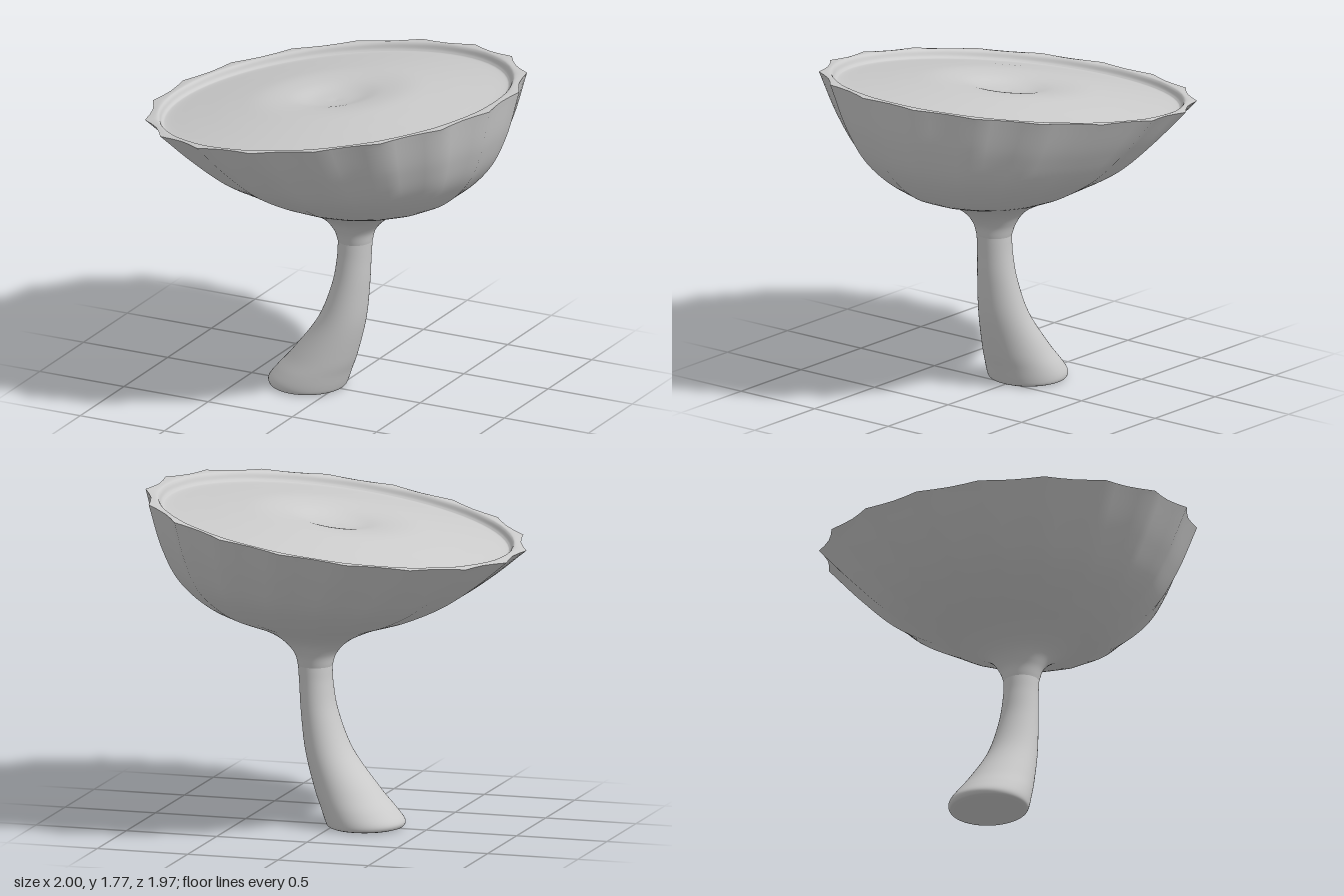
import * as THREE from 'three';

const SEGMENTS = 72;
const material = new THREE.MeshStandardMaterial({ color: 0xcccccc });

// Radius factor with 18 shallow hollows between pointed ribs
function scallop(angle, depth) {
  const deg = THREE.MathUtils.radToDeg(angle);
  const fromRib = Math.abs((deg % 20) - 10) / 10;
  return 1 - depth * Math.sin(fromRib * Math.PI / 2);
}

// Smooth surface through rings: [centreX, y, radiusX, radiusZ, slope along x, scallop depth]
function loft(name, rings, steps) {
  const a = new THREE.CatmullRomCurve3(
    rings.map(r => new THREE.Vector3(r[0], r[1], r[2])), false, 'catmullrom', 0.5);
  const b = new THREE.CatmullRomCurve3(
    rings.map(r => new THREE.Vector3(r[3], r[4], r[5])), false, 'catmullrom', 0.5);
  const positions = [], index = [];
  for (let i = 0; i <= steps; i++) {
    const p = a.getPoint(i / steps), q = b.getPoint(i / steps);
    for (let j = 0; j < SEGMENTS; j++) {
      const angle = j / SEGMENTS * Math.PI * 2;
      const s = scallop(angle, q.z);
      const x = p.z * s * Math.cos(angle);
      positions.push(p.x + x, p.y + q.y * x, q.x * s * Math.sin(angle));
      if (i === steps) continue;
      const k = i * SEGMENTS + j, n = i * SEGMENTS + (j + 1) % SEGMENTS;
      index.push(k, k + SEGMENTS, n, n, k + SEGMENTS, n + SEGMENTS);
    }
  }
  const geometry = new THREE.BufferGeometry();
  geometry.setAttribute('position', new THREE.Float32BufferAttribute(positions, 3));
  geometry.setIndex(index);
  geometry.computeVertexNormals();
  const mesh = new THREE.Mesh(geometry, material);
  mesh.name = name;
  return mesh;
}

export function createModel() {
  const group = new THREE.Group();
  group.name = 'tiltedMushroom';

  // Curved stem, given as [y, left x, right x, radiusZ]
  const stem = [
    [0, -0.345, 0.02, 0.19], [0.01, -0.368, 0.038, 0.21], [0.04, -0.372, 0.052, 0.215],
    [0.1, -0.325, 0.073, 0.205], [0.2, -0.238, 0.11, 0.18], [0.4, -0.09, 0.163, 0.138],
    [0.6, -0.01, 0.188, 0.11], [0.75, 0.018, 0.198, 0.097], [0.85, 0.024, 0.205, 0.095],
  ].map(([y, l, r, rz]) => [(l + r) / 2, y, (r - l) / 2, rz, 0, 0]);
  group.add(loft('stem', stem, 48));

  // Flat foot closing the stem
  const foot = stem[0];
  group.add(loft('stemBase', [[foot[0], 0, 0.001, 0.001, 0, 0], foot], 2));

  // Ribbed underside flaring from the stem to the tilted rim
  group.add(loft('capUnderside', [
    [0.1145, 0.85, 0.0905, 0.095, 0, 0],
    [0.1125, 0.92, 0.1125, 0.12, 0, 0],
    [0.11, 0.99, 0.18, 0.17, 0, 0],
    [0.1, 1.053, 0.3, 0.275, 0, 0.005],
    [0.125, 1.135, 0.535, 0.46, 0.03, 0.015],
    [0.11, 1.27, 0.74, 0.675, 0.07, 0.025],
    [0.055, 1.44, 0.895, 0.835, 0.092, 0.03],
    [0, 1.6375, 1.015, 0.985, 0.1375, 0.035],
  ], 56));

  // Top face: lip, groove, low dome and central dimple, given as [radius, height, scallop]
  const top = [
    [1, 0, 0.035], [0.955, 0.002, 0.008], [0.935, -0.008, 0], [0.92, -0.035, 0],
    [0.89, -0.042, 0], [0.75, -0.022, 0], [0.57, 0.004, 0], [0.4, 0.022, 0],
    [0.25, 0.014, 0], [0.12, -0.012, 0], [0.001, -0.022, 0],
  ].map(([r, h, depth], i) =>
    [0, 1.6375 + h, i ? r : 1.015, i ? r * 0.985 : 0.985, 0.1375, depth]);
  group.add(loft('capTop', top, 60));

  return group;
}
